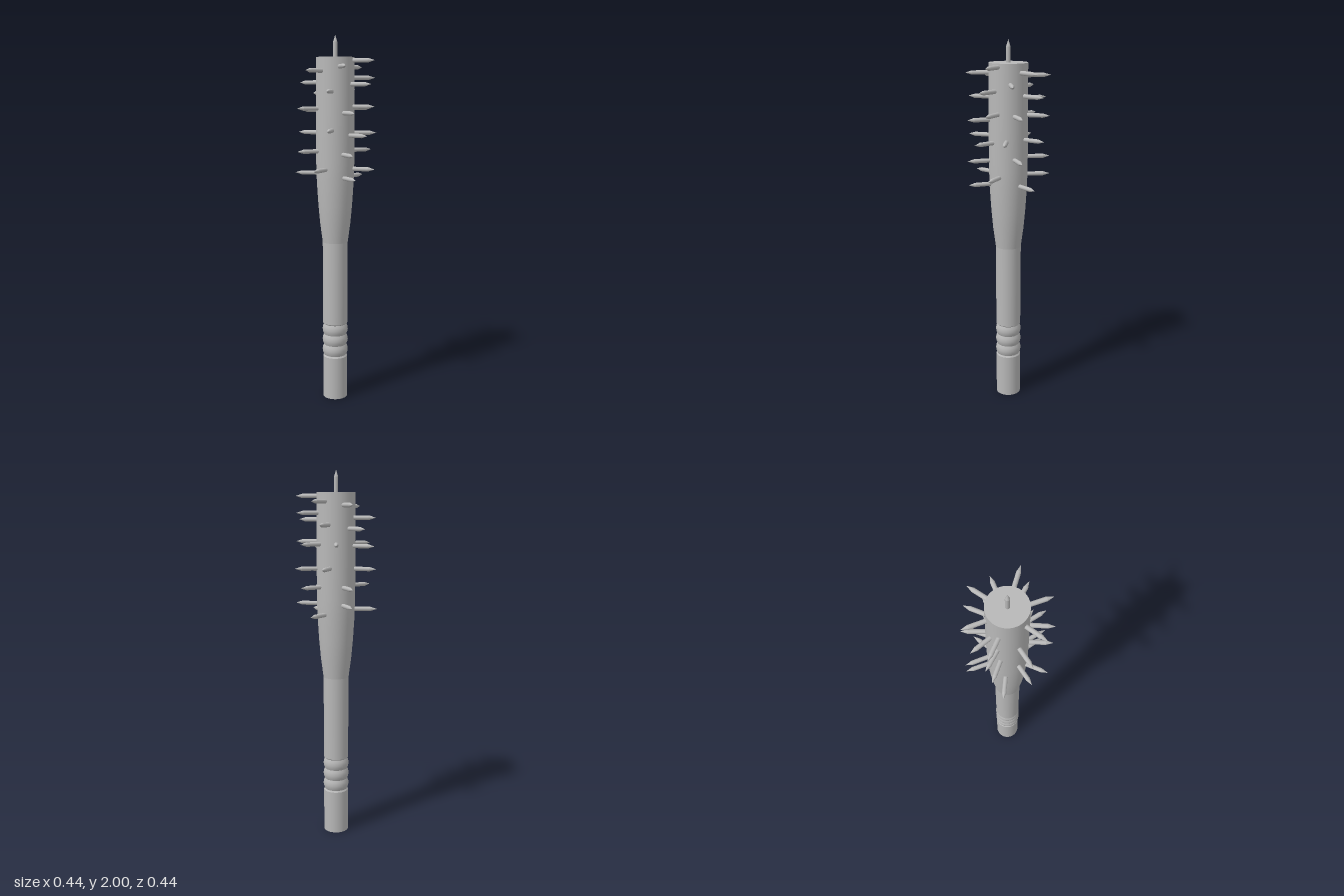
import * as THREE from 'three';

const steel = new THREE.MeshStandardMaterial({ color: 0xb8b8b8 });
steel.name = 'grey';

// Lathe from [radius, height] pairs; a third truthy entry marks a sharp edge
function turned(profile, segments) {
  const points = [];
  for (const [r, y, sharp] of profile) {
    points.push(new THREE.Vector2(r, y));
    if (sharp) points.push(new THREE.Vector2(r, y));
  }
  return new THREE.LatheGeometry(points, segments);
}

export function createModel() {
  const model = new THREE.Group();
  model.name = 'spikedClub';
  const add = (name, geometry) => {
    const mesh = new THREE.Mesh(geometry, steel);
    mesh.name = name;
    model.add(mesh);
    return mesh;
  };

  // Handle with three rounded grip rings, closed at the bottom
  const handle = [[0, 0], [0.068, 0, 1], [0.068, 0.24, 1]];
  const ringHeight = 0.06;
  for (let i = 0; i < 3; i++) {
    const y = 0.248 + i * ringHeight;
    handle.push([0.062, y, 1], [0.068, y + 0.013], [0.071, y + 0.03], [0.068, y + 0.047]);
  }
  handle.push([0.062, 0.428, 1], [0.068, 0.434, 1], [0.069, 0.895]);
  add('handle', turned(handle, 32));

  // Flared head, closed at the top
  add('head', turned([
    [0.069, 0.895], [0.083, 1.0], [0.092, 1.1], [0.1, 1.225], [0.103, 1.325],
    [0.104, 1.55], [0.102, 1.885, 1], [0, 1.885],
  ], 32));

  // Spikes: a thin rod with a pointed end, modelled along +y from the club's axis
  const spikeGeometry = turned([
    [0.0115, 0.08], [0.0115, 0.186, 1], [0.0001, 0.222],
  ], 12);

  // [height, direction in degrees from +x towards +z]
  const spikes = [
    [1.255, 36], [1.25, -72], [1.273, 166], [1.30, 94], [1.30, -7], [1.30, -130],
    [1.38, 40], [1.395, 128], [1.395, -53], [1.395, -131],
    [1.48, 16.5], [1.49, -29], [1.495, -90], [1.507, 73.5], [1.49, 180],
    [1.597, 38], [1.62, 128], [1.61, -172], [1.62, -53], [1.62, -109], [1.63, -3],
    [1.708, 74.5], [1.70, -149.5], [1.72, -86.5], [1.745, 8], [1.756, -176], [1.78, -40.5],
    [1.814, 107.5], [1.82, -130.5], [1.835, 51], [1.838, -74.5], [1.867, -3.5],
  ];
  const up = new THREE.Vector3(0, 1, 0);
  for (const [y, degrees] of spikes) {
    const a = THREE.MathUtils.degToRad(degrees);
    const spike = add('sideSpike', spikeGeometry);
    spike.position.y = y;
    spike.quaternion.setFromUnitVectors(up, new THREE.Vector3(Math.cos(a), 0, Math.sin(a)));
  }

  // Spike on the crown
  add('topSpike', spikeGeometry).position.y = 2 - 0.222;

  return model;
}
